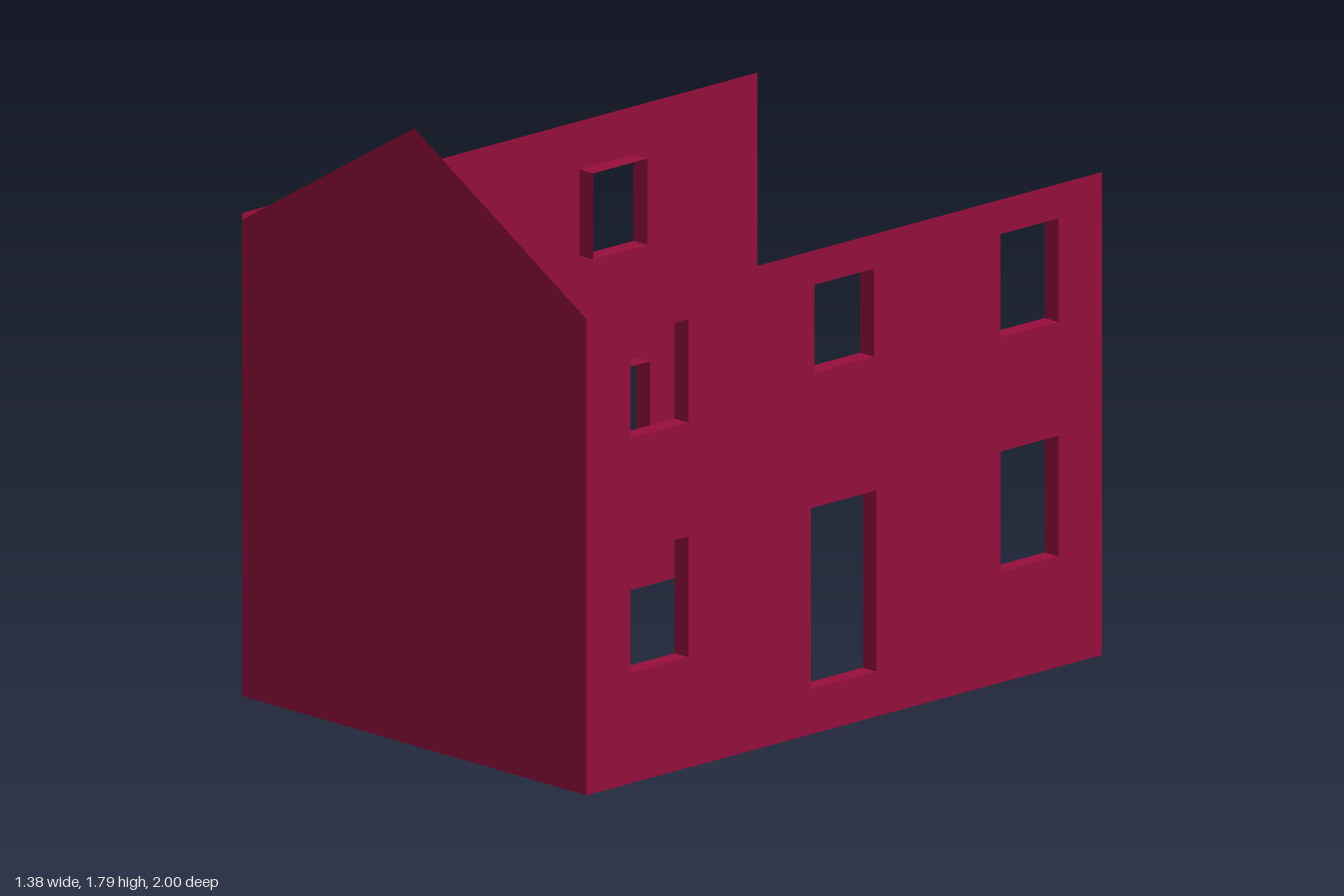
import * as THREE from 'three';

const HALF_W = 0.688, HALF_L = 1, EAVE = 1.4, REVEAL = 0.055;

// openings as [zMin, zMax, yMin, yMax]
const LEFT_OPENINGS = [
  [-0.125, 0.13, 0.13, 0.655], // door
  [-0.115, 0.115, 1.045, 1.3],
];
for (const [z0, z1] of [[-0.83, -0.605], [0.605, 0.83]]) {
  LEFT_OPENINGS.push([z0, z1, 0.32, 0.67], [z0, z1, 1, 1.3]);
}
const RIGHT_OPENINGS = [
  [0.39, 0.617, 0.14, 0.64], // door
  [0.395, 0.612, 1.02, 1.25],
  [-0.53, -0.305, 0.38, 0.67],
  [-0.52, -0.31, 1.01, 1.26],
];

const corners = ([a, b, c, d]) => [[a, c], [b, c], [b, d], [a, d]];
const toPoints = (list) => list.map(([u, v]) => new THREE.Vector2(u, v));

// thin wall in the z-y plane, pierced by its openings
function wallGeometry(openings) {
  const shape = new THREE.Shape(toPoints(corners([-HALF_L, HALF_L, 0, EAVE])));
  for (const o of openings) shape.holes.push(new THREE.Path(toPoints(corners(o).reverse())));
  return new THREE.ShapeGeometry(shape).rotateY(-Math.PI / 2);
}

// four-sided sleeve lining an opening, reaching from the wall to the inside
function revealGeometry(opening, depth) {
  const positions = [], index = [];
  for (const x of [0, depth]) for (const [z, y] of corners(opening)) positions.push(x, y, z);
  for (let i = 0; i < 4; i++) {
    const j = (i + 1) % 4;
    index.push(i, j, j + 4, i, j + 4, i + 4);
  }
  const indexed = new THREE.BufferGeometry();
  indexed.setAttribute('position', new THREE.Float32BufferAttribute(positions, 3));
  indexed.setIndex(index);
  const flat = indexed.toNonIndexed();
  flat.computeVertexNormals();
  return flat;
}

export function createModel() {
  const model = new THREE.Group();
  model.name = 'houseShell';
  const crimson = new THREE.MeshStandardMaterial({ color: 0x960e3c, side: THREE.DoubleSide });
  crimson.name = 'crimson';

  const add = (parent, name, geometry) => {
    const mesh = new THREE.Mesh(geometry, crimson);
    mesh.name = name;
    parent.add(mesh);
    return mesh;
  };

  // front gable wall
  const gable = new THREE.Shape(toPoints([
    [-HALF_W, 0], [HALF_W, 0], [HALF_W, 1.38], [0, 1.79], [-HALF_W, 1.38],
  ]));
  add(model, 'frontGable', new THREE.ShapeGeometry(gable)).position.z = HALF_L;

  // side walls with door and window reveals
  for (const [name, side, openings] of [['left', 1, LEFT_OPENINGS], ['right', -1, RIGHT_OPENINGS]]) {
    const group = new THREE.Group();
    group.name = name + 'Side';
    group.position.x = side * HALF_W;
    add(group, name + 'Wall', wallGeometry(openings));
    openings.forEach((o, i) =>
      add(group, name + (i === 0 ? 'DoorReveal' : 'WindowReveal' + i), revealGeometry(o, -side * REVEAL)));
    model.add(group);
  }
  return model;
}
